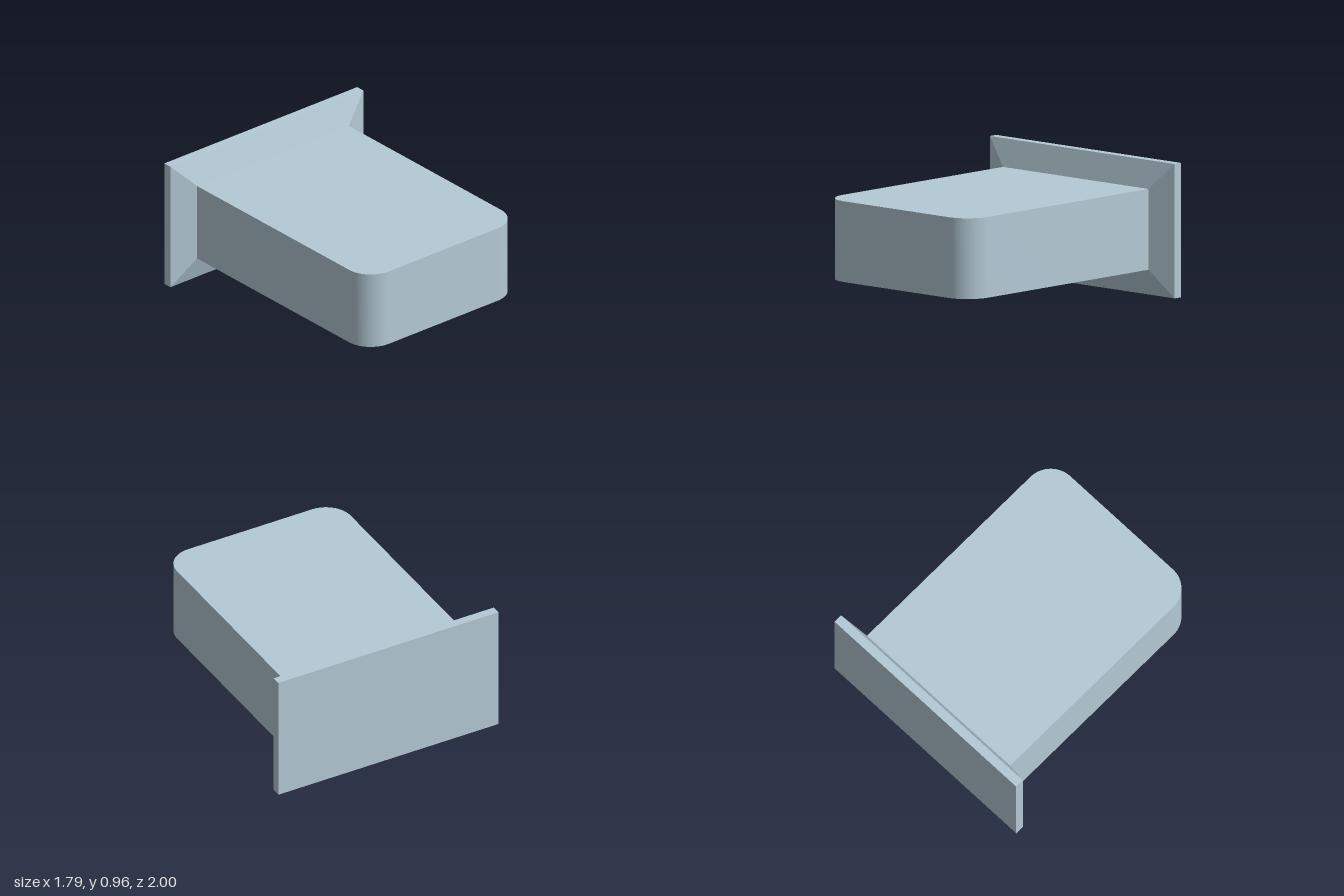
import * as THREE from 'three';
import { toCreasedNormals } from 'three/addons/utils/BufferGeometryUtils.js';

const BACK = -1, FRONT = 1, STEP = 0.067;   // z limits and thickness of each flange layer
const HALF_W = 0.705, HALF_H = 0.29;        // body half width and half height
const LIP = 0.19;                           // how far the flange overhangs the body
const MID_Y = HALF_H + LIP + 0.0025;
const RADIUS = 0.2;

export function createModel() {
  const group = new THREE.Group();
  const material = new THREE.MeshStandardMaterial({ color: 0xb4cad6 });
  const add = (name, geometry) => {
    const mesh = new THREE.Mesh(geometry, material);
    mesh.name = name;
    group.add(mesh);
  };

  // Body: plan outline with two rounded front corners, extruded downwards
  const neck = BACK + 2 * STEP;
  const outline = new THREE.Shape();
  outline.moveTo(-HALF_W, neck);
  outline.lineTo(HALF_W, neck);
  outline.absarc(HALF_W - RADIUS, FRONT - RADIUS, RADIUS, 0, Math.PI / 2, false);
  outline.absarc(-HALF_W + RADIUS, FRONT - RADIUS, RADIUS, Math.PI / 2, Math.PI, false);
  outline.closePath();
  const body = new THREE.ExtrudeGeometry(outline, { depth: 2 * HALF_H, bevelEnabled: false, curveSegments: 20 });
  body.rotateX(Math.PI / 2).translate(0, MID_Y + HALF_H, 0);
  add('body', toCreasedNormals(body, 0.5));

  // Back flange: straight-edged plate whose front layer tapers in to the body
  const box = new THREE.BoxGeometry(2 * (HALF_W + LIP), 2 * (HALF_H + LIP) + 0.005, 2 * STEP, 1, 1, 2);
  const pos = box.attributes.position;
  for (let i = 0; i < pos.count; i++) {
    if (pos.getZ(i) > STEP / 2) {
      pos.setX(i, Math.sign(pos.getX(i)) * HALF_W);
      pos.setY(i, Math.sign(pos.getY(i)) * HALF_H);
    }
  }
  box.translate(0, MID_Y, BACK + STEP);
  const flange = box.toNonIndexed();
  flange.computeVertexNormals();
  add('backFlange', flange);

  return group;
}
